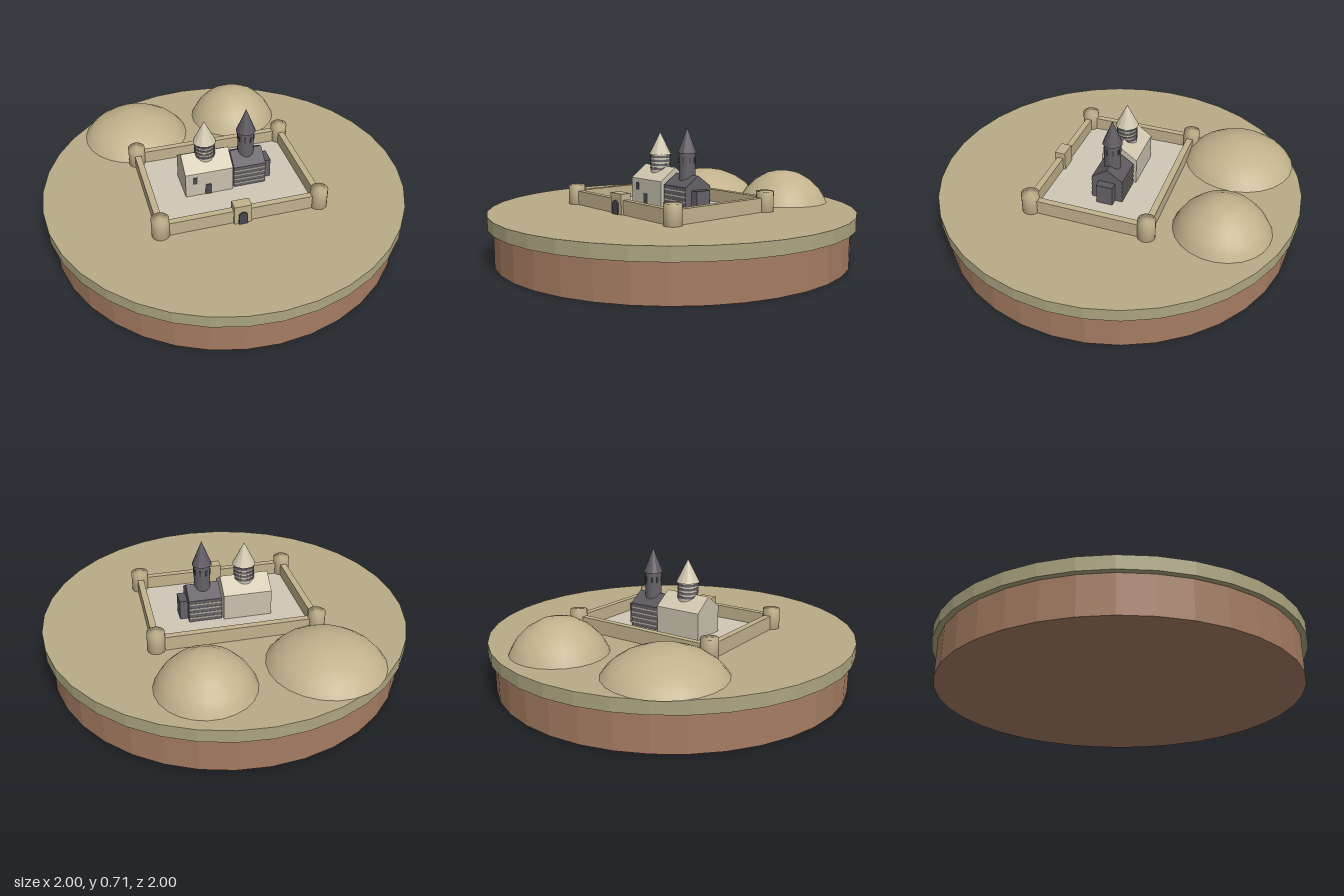
import * as THREE from 'three';
import { mergeVertices } from 'three/addons/utils/BufferGeometryUtils.js';

const paint = (name, color) => Object.assign(new THREE.MeshStandardMaterial({ color }), { name });

// facets: one normal per face
function flat(geo) {
  const g = geo.toNonIndexed();
  g.computeVertexNormals();
  return g;
}

// soft: normals shared across every edge
function soft(geo) {
  geo.deleteAttribute('normal');
  geo.deleteAttribute('uv');
  const g = mergeVertices(geo);
  g.computeVertexNormals();
  return g;
}

export function createModel() {
  const earth = paint('earth brown', 0xa57c62);
  const rim = paint('olive rim', 0xaca580);
  const ground = paint('dry ground', 0xb9ab86);
  const sand = paint('sandstone', 0xc2b28c);
  const paving = paint('pale paving', 0xd0c7b6);
  const creamWall = paint('cream wall', 0xcac2b0);
  const creamRoof = paint('cream roof', 0xd2c8b0);
  const darkWall = paint('dark stone', 0x666268);
  const darkRoof = paint('dark roof', 0x5c5960);
  const opening = paint('dark opening', 0x4a4850);

  const model = new THREE.Group();
  model.name = 'fortifiedChurches';

  function add(parent, name, geo, mat, x = 0, y = 0, z = 0) {
    const m = new THREE.Mesh(geo, mat);
    m.name = name;
    m.position.set(x, y, z);
    parent.add(m);
    return m;
  }
  const box = (parent, name, mat, w, h, d, x, bottom, z) =>
    add(parent, name, new THREE.BoxGeometry(w, h, d), mat, x, bottom + h / 2, z);
  const drum = (parent, name, mat, r, h, x, bottom, z, sides = 16, top = r) =>
    add(parent, name, flat(new THREE.CylinderGeometry(top, r, h, sides)), mat, x, bottom + h / 2, z);

  // round plinth
  drum(model, 'plinth', earth, 0.97, 0.2, 0, 0, 0, 36);
  drum(model, 'groundDisc', [rim, ground, rim], 1, 0.07, 0, 0.2, 0, 36);
  const G = 0.27;

  // two rounded hills from one profile
  const hillProfile = [[1, 0], [0.93, 0.2], [0.84, 0.4], [0.64, 0.69], [0.36, 0.92], [0.18, 0.98], [0, 1]]
    .map(([r, y]) => new THREE.Vector2(r, y));
  for (const [x, z, r, h] of [[-0.16, -0.69, 0.305, 0.14], [0.445, -0.52, 0.255, 0.18]]) {
    const geo = new THREE.LatheGeometry(hillProfile, 24).scale(r, h, r);
    add(model, 'hill', geo, sand, x, G, z);
  }

  // walled yard, turned on the disc
  const yard = new THREE.Group();
  yard.name = 'walledYard';
  yard.position.set(-0.0125, 0, 0.0225);
  yard.rotation.y = -THREE.MathUtils.degToRad(20);
  model.add(yard);
  const U = 0.431, V = 0.319, T = 0.035;
  box(yard, 'paving', paving, 2 * U, 0.006, 2 * V, 0, G, 0);
  for (const s of [-1, 1]) {
    box(yard, 'longWall', sand, 2 * U, 0.077, T, 0, G, s * V);
    box(yard, 'shortWall', sand, T, 0.077, 2 * V, s * U, G, 0);
    for (const t of [-1, 1]) {
      add(yard, 'cornerTower', soft(new THREE.CylinderGeometry(0.047, 0.047, 0.11, 16)),
        sand, s * U, G + 0.055, t * V);
    }
  }

  // gatehouse with arched door
  box(yard, 'gatehouse', sand, 0.095, 0.11, 0.06, 0, G, V);
  const arch = new THREE.Shape();
  arch.moveTo(-0.024, 0);
  arch.lineTo(0.024, 0);
  arch.lineTo(0.024, 0.05);
  arch.absarc(0, 0.05, 0.024, 0, Math.PI, false);
  arch.closePath();
  add(yard, 'gateDoor', new THREE.ExtrudeGeometry(arch, { depth: 0.009, bevelEnabled: false, curveSegments: 6 }),
    opening, 0, G, V + 0.03);

  // gabled house with its ridge along local x
  function gabled(parent, name, wall, roof, len, width, eaves, ridge, x, z) {
    const w = width / 2, t = 0.008;
    const prism = (pts) => new THREE.ExtrudeGeometry(
      new THREE.Shape(pts.map(([a, b]) => new THREE.Vector2(a, b))), { depth: len, bevelEnabled: false })
      .translate(0, 0, -len / 2).rotateY(Math.PI / 2);
    add(parent, name + 'Walls', prism([[-w, G], [w, G], [w, eaves - t], [0, ridge - t], [-w, eaves - t]]), wall, x, 0, z);
    add(parent, name + 'Roof', prism([[-w, eaves - t], [0, ridge - t], [w, eaves - t], [w, eaves], [0, ridge], [-w, eaves]]),
      roof, x, 0, z);
  }
  const AX = -0.029;

  // cream church
  const cream = new THREE.Group();
  cream.name = 'creamChurch';
  yard.add(cream);
  const cx = -0.104, cFront = AX + 0.1;
  gabled(cream, 'nave', creamWall, creamRoof, 0.266, 0.2, 0.42, 0.492, cx, AX);
  box(cream, 'naveWindow', opening, 0.024, 0.042, 0.006, cx - 0.08, 0.355, cFront);
  box(cream, 'naveDoor', opening, 0.036, 0.065, 0.006, cx - 0.005, G + 0.005, cFront);
  drum(cream, 'lantern', creamWall, 0.054, 0.13, cx, 0.43, AX);
  for (let i = 0; i < 4; i++) drum(cream, 'lanternBand', darkWall, 0.057, 0.012, cx, 0.472 + i * 0.022, AX);
  drum(cream, 'lanternCone', creamRoof, 0.063, 0.125, cx, 0.556, AX, 12, 0);

  // dark church with pale courses
  const dark = new THREE.Group();
  dark.name = 'darkChurch';
  yard.add(dark);
  const dx = 0.129;
  gabled(dark, 'chapel', darkWall, darkRoof, 0.18, 0.172, 0.405, 0.463, dx, AX);
  for (let i = 0; i < 4; i++) box(dark, 'paleCourse', creamWall, 0.179, 0.007, 0.178, dx, 0.295 + i * 0.028, AX);
  box(dark, 'apse', darkWall, 0.045, 0.11, 0.09, 0.24, G, AX);
  box(dark, 'apseRoof', darkRoof, 0.047, 0.007, 0.092, 0.24, G + 0.11, AX);
  drum(dark, 'bellTower', darkWall, 0.045, 0.17, dx, 0.41, AX);
  for (let i = 0; i < 8; i++) {
    const a = (i + 0.5) * Math.PI / 4;
    const slit = box(dark, 'towerSlit', opening, 0.01, 0.032, 0.006,
      dx + Math.sin(a) * 0.044, 0.525, AX + Math.cos(a) * 0.044);
    slit.rotation.y = a;
  }
  drum(dark, 'towerSpire', darkRoof, 0.054, 0.135, dx, 0.58, AX, 12, 0);

  return model;
}
